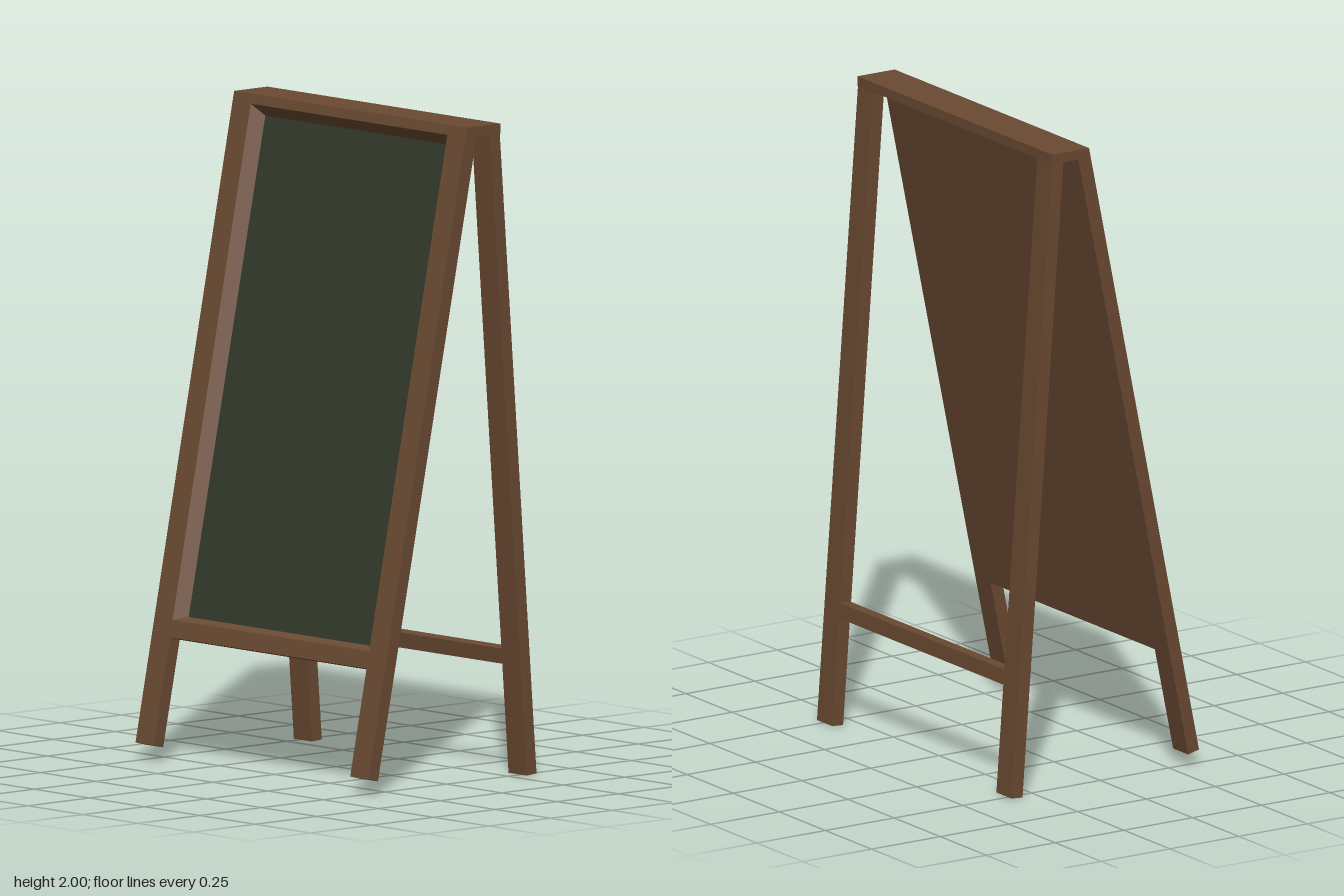
import * as THREE from 'three';

const wood = new THREE.MeshStandardMaterial({ color: 0x6b4a32, flatShading: true });
const slate = new THREE.MeshStandardMaterial({ color: 0x323a2a, flatShading: true });

const LEG_IN = 0.445, LEG_OUT = 0.527, BOARD_X = 0.41;

// z of the sloping front and back planes of the front frame at height y
const zFront = (y) => 0.341 - 0.2051 * (y - 0.05);
const zBack = (y) => 0.302 - 0.2073 * (y - 0.04);
const zBoard = (y) => zBack(y) + 0.01;

// Side profile of [z, y] points, extruded from x0 to x1
function profile(name, points, x0, x1, material = wood) {
  const shape = new THREE.Shape(points.map(([z, y]) => new THREE.Vector2(z, y)));
  const geometry = new THREE.ExtrudeGeometry(shape, { depth: x1 - x0, bevelEnabled: false });
  geometry.rotateY(-Math.PI / 2).translate(x1, 0, 0);
  const mesh = new THREE.Mesh(geometry, material);
  mesh.name = name;
  return mesh;
}

// Flat strips, each given by four corners in anticlockwise order
function strips(name, quads, material = wood) {
  const points = quads.flatMap(([a, b, c, d]) => [a, b, c, a, c, d]).flat();
  const geometry = new THREE.BufferGeometry();
  geometry.setAttribute('position', new THREE.Float32BufferAttribute(points, 3));
  geometry.computeVertexNormals();
  const mesh = new THREE.Mesh(geometry, material);
  mesh.name = name;
  return mesh;
}

export function createModel() {
  const group = new THREE.Group();
  group.name = 'sandwichBoard';

  // Legs, mirrored left and right
  for (const [side, x0, x1] of [['left', LEG_IN, LEG_OUT], ['right', -LEG_OUT, -LEG_IN]]) {
    group.add(profile(`${side}FrontLeg`, [
      [zBack(0.04), 0.04], [zFront(0.05), 0.05], [zFront(1.97), 1.97], [zBack(1.97), 1.97],
    ], x0, x1));
    group.add(profile(`${side}BackLeg`, [
      [-0.341, 0.003], [-0.301, 0], [-0.152, 1.97], [-0.192, 1.97],
    ], x0, x1));
  }

  // Top bar joining both frames
  group.add(profile('topBar', [
    [-0.194, 1.97], [zFront(1.97), 1.97], [zFront(2), 2], [-0.194, 2],
  ], -LEG_OUT, LEG_OUT));

  // Bottom rail of the front frame, its top sloping to the board
  group.add(profile('bottomRail', [
    [zBack(0.362), 0.362], [zFront(0.373), 0.373], [zFront(0.425), 0.425],
    [zBoard(0.435), 0.435], [zBack(0.435), 0.435],
  ], -LEG_IN, LEG_IN));

  // Crossbar between the back legs
  group.add(profile('backCrossbar', [
    [-0.317, 0.338], [-0.276, 0.335], [-0.272, 0.382], [-0.313, 0.385],
  ], -LEG_IN, LEG_IN));

  // Wooden backing, flush with the rear of the front legs
  group.add(profile('backingPanel', [
    [zBack(0.435), 0.435], [zBack(0.435) + 0.005, 0.435],
    [zBack(1.97) + 0.005, 1.97], [zBack(1.97), 1.97],
  ], -LEG_IN, LEG_IN));

  // Writing surface
  group.add(profile('chalkboard', [
    [zBack(0.435) + 0.005, 0.435], [zBoard(0.435), 0.435],
    [zBoard(1.935), 1.935], [zBack(1.935) + 0.005, 1.935],
  ], -BOARD_X, BOARD_X, slate));

  // Mitred bevel around the sides and top of the board
  const outer = (x, y) => [x, y, zFront(y)];
  const inner = (x, y) => [x, y, zBoard(y)];
  group.add(strips('boardBevel', [
    [outer(LEG_IN, 0.425), outer(LEG_IN, 1.97), inner(BOARD_X, 1.935), inner(BOARD_X, 0.435)],
    [outer(LEG_IN, 1.97), outer(-LEG_IN, 1.97), inner(-BOARD_X, 1.935), inner(BOARD_X, 1.935)],
    [outer(-LEG_IN, 1.97), outer(-LEG_IN, 0.425), inner(-BOARD_X, 0.435), inner(-BOARD_X, 1.935)],
  ]));

  return group;
}
